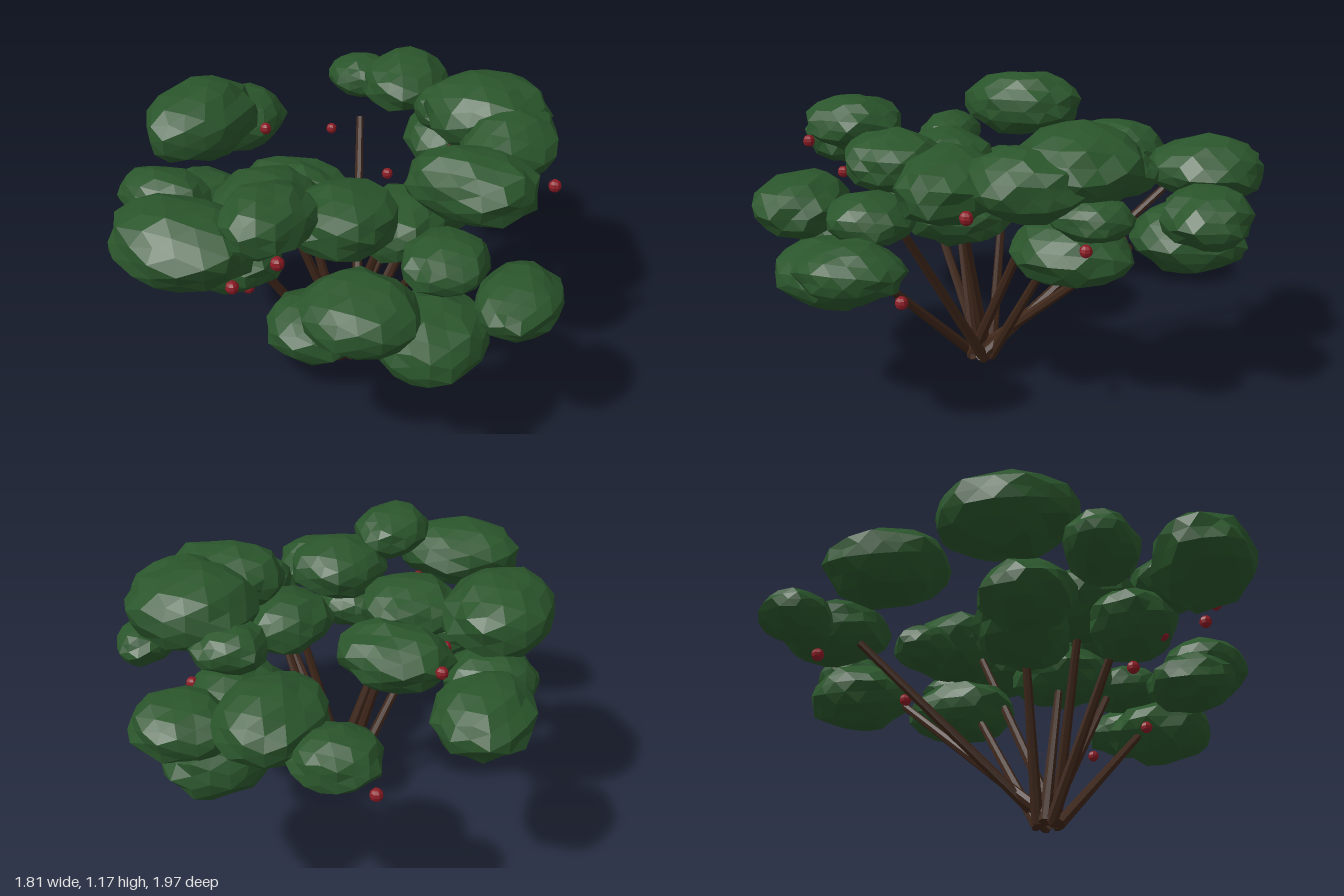
import * as THREE from 'three';

const leafMat = new THREE.MeshStandardMaterial({ color: 0x2a552b, flatShading: true });
const barkMat = new THREE.MeshStandardMaterial({ color: 0x3e2619, flatShading: true });
const berryMat = new THREE.MeshStandardMaterial({ color: 0x8b1a24, flatShading: true });

// Repeatable noise in 0..1, equal for coincident corners
function noise(v, seed) {
  const n = Math.sin(Math.round(v.x * 1000) * 12.9898 + Math.round(v.y * 1000) * 78.233 + Math.round(v.z * 1000) * 37.719 + seed * 7.13) * 43758.5453;
  return n - Math.floor(n);
}

// Faceted, lumpy unit ball
function lumpyBall(seed) {
  const geo = new THREE.IcosahedronGeometry(1, 2);
  const pos = geo.attributes.position;
  const v = new THREE.Vector3();
  for (let i = 0; i < pos.count; i++) {
    v.fromBufferAttribute(pos, i);
    v.multiplyScalar(0.91 + 0.15 * noise(v, seed));
    pos.setXYZ(i, v.x, v.y, v.z);
  }
  geo.computeVertexNormals();
  return geo;
}

// Tapered stem between two points
function makeStem(from, to) {
  const dir = to.clone().sub(from);
  const mesh = new THREE.Mesh(new THREE.CylinderGeometry(0.016, 0.024, dir.length(), 7), barkMat);
  mesh.position.lerpVectors(from, to, 0.5);
  mesh.quaternion.setFromUnitVectors(new THREE.Vector3(0, 1, 0), dir.normalize());
  mesh.name = 'stem';
  return mesh;
}

// Leaf clumps: centre x, y, z, then radii along x and z; the first ones are carried by stems
const STEM_COUNT = 10;
const clumps = [
  [-0.36, 0.84, -0.83, 0.16, 0.15],
  [0.11, 0.68, -0.72, 0.19, 0.23],
  [0.26, 0.64, -0.30, 0.18, 0.24],
  [0.39, 1.02, -0.35, 0.25, 0.24],
  [0.23, 0.75, 0.16, 0.18, 0.22],
  [0.49, 0.79, 0.40, 0.16, 0.17],
  [0.50, 0.57, 0.55, 0.20, 0.23],
  [-0.27, 0.72, 0.08, 0.24, 0.19],
  [-0.25, 0.82, 0.33, 0.21, 0.20],
  [-0.33, 0.66, 0.51, 0.22, 0.17],
  [0.48, 0.94, 0.10, 0.26, 0.19],
  [-0.11, 0.89, -0.76, 0.19, 0.23],
  [0.21, 0.80, -0.79, 0.19, 0.17],
  [-0.72, 0.78, -0.32, 0.19, 0.23],
  [-0.66, 0.98, 0.10, 0.21, 0.27],
  [-0.63, 0.82, 0.44, 0.19, 0.14],
  [-0.64, 0.65, 0.17, 0.19, 0.18],
  [-0.33, 0.90, 0.79, 0.27, 0.20],
  [-0.05, 1.00, 0.68, 0.16, 0.20],
  [0.11, 0.90, 0.44, 0.20, 0.21],
  [0.31, 0.76, 0.75, 0.21, 0.19],
  [0.13, 0.62, 0.70, 0.18, 0.18],
  [0.76, 0.69, 0.38, 0.15, 0.20],
  [0.53, 0.98, -0.20, 0.19, 0.23],
  [0.55, 0.88, -0.42, 0.11, 0.15],
  [0.19, 0.94, -0.46, 0.15, 0.14],
];

const berrySpots = [
  [0.06, 0.94, 0.83], [0.69, 0.56, 0.22], [0.755, 0.92, -0.04],
  [-0.525, 0.83, -0.18], [-0.07, 0.57, -0.45], [-0.45, 0.61, -0.68],
  [-0.44, 0.73, 0.20], [0.28, 0.51, 0.50], [0.40, 0.70, -0.38],
  [-0.36, 0.60, 0.62], [-0.255, 0.53, 0.50], [-0.15, 0.75, 0.78],
];

export function createModel() {
  const model = new THREE.Group();
  model.name = 'berryShrub';
  const foliage = new THREE.Group();
  foliage.name = 'foliage';
  const stems = new THREE.Group();
  stems.name = 'stems';
  const berries = new THREE.Group();
  berries.name = 'berries';
  model.add(foliage, stems, berries);

  clumps.forEach(([x, y, z, rx, rz], i) => {
    // Flattened leaf clump
    const clump = new THREE.Mesh(lumpyBall(i + 1), leafMat);
    clump.position.set(x, y, z);
    clump.scale.set(rx, 0.305 * (rx + rz), rz);
    clump.name = 'leafClump';
    foliage.add(clump);

    // Stem from the tight bundle at the ground, rising steeply towards the clump
    if (i < STEM_COUNT) {
      const a = i * 2.4;
      const foot = new THREE.Vector3(-0.02 + 0.045 * Math.cos(a), 0.012, 0.13 + 0.045 * Math.sin(a));
      stems.add(makeStem(foot, foot.clone().lerp(new THREE.Vector3(x, y * 1.18, z), 0.75)));
    }
  });

  // Small berries among the leaves
  const berryGeo = new THREE.SphereGeometry(0.025, 8, 6);
  berrySpots.forEach((spot) => {
    const berry = new THREE.Mesh(berryGeo, berryMat);
    berry.position.set(...spot);
    berry.name = 'berry';
    berries.add(berry);
  });

  return model;
}
